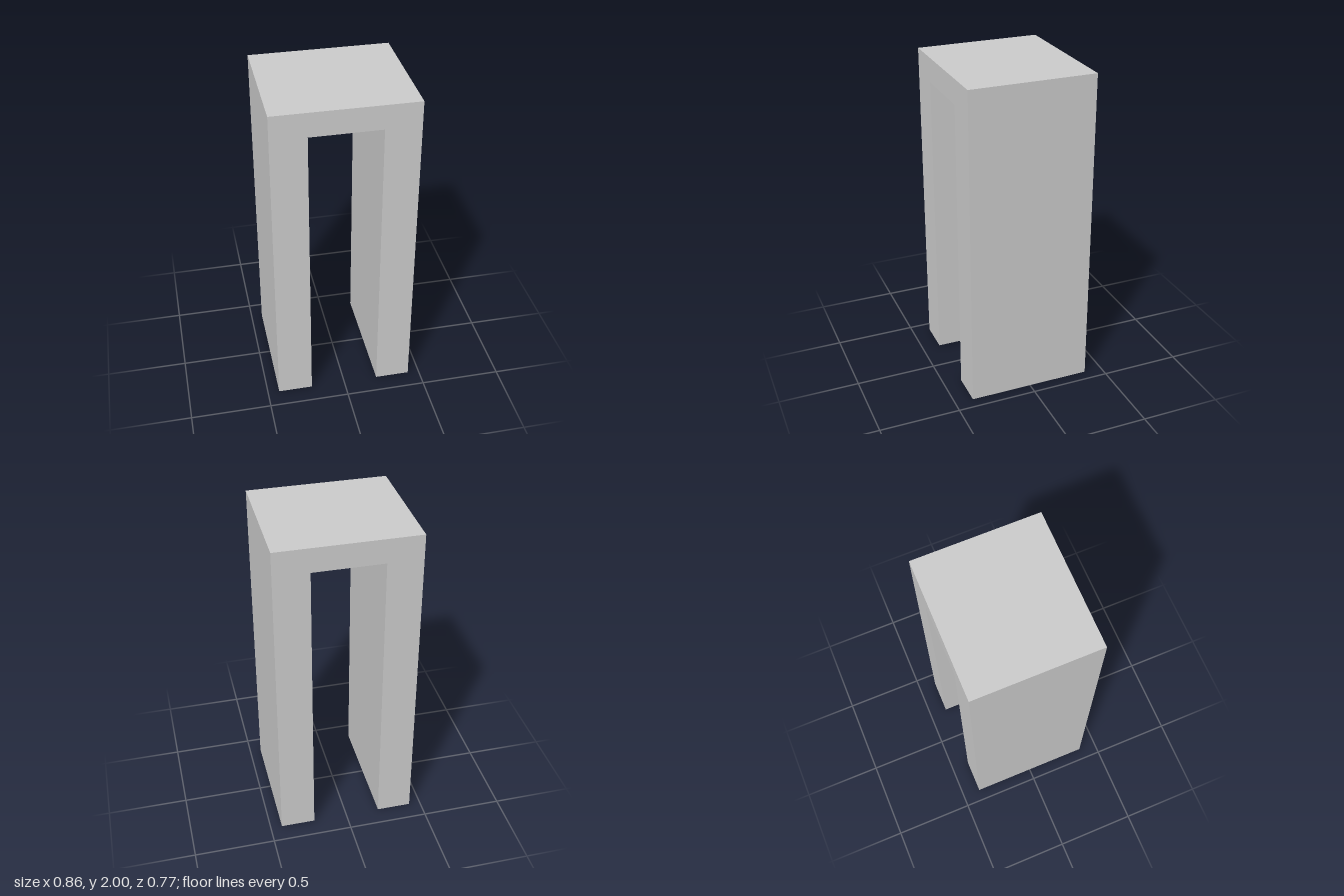
import * as THREE from 'three';

export function createModel() {
  const halfWidth = 0.428, halfOpening = 0.214, height = 2, openingHeight = 1.85, depth = 0.77;

  // Upside-down U outline, extruded front to back
  const outline = new THREE.Shape([
    [-halfWidth, 0], [-halfOpening, 0], [-halfOpening, openingHeight], [halfOpening, openingHeight],
    [halfOpening, 0], [halfWidth, 0], [halfWidth, height], [-halfWidth, height],
  ].map(([x, y]) => new THREE.Vector2(x, y)));
  const geometry = new THREE.ExtrudeGeometry(outline, { depth, bevelEnabled: false });
  geometry.translate(0, 0, -depth / 2);

  const arch = new THREE.Mesh(geometry, new THREE.MeshStandardMaterial({ color: 0xcccccc, flatShading: true }));
  arch.name = 'squareArch';

  const model = new THREE.Group();
  model.name = 'archway';
  model.add(arch);
  return model;
}
